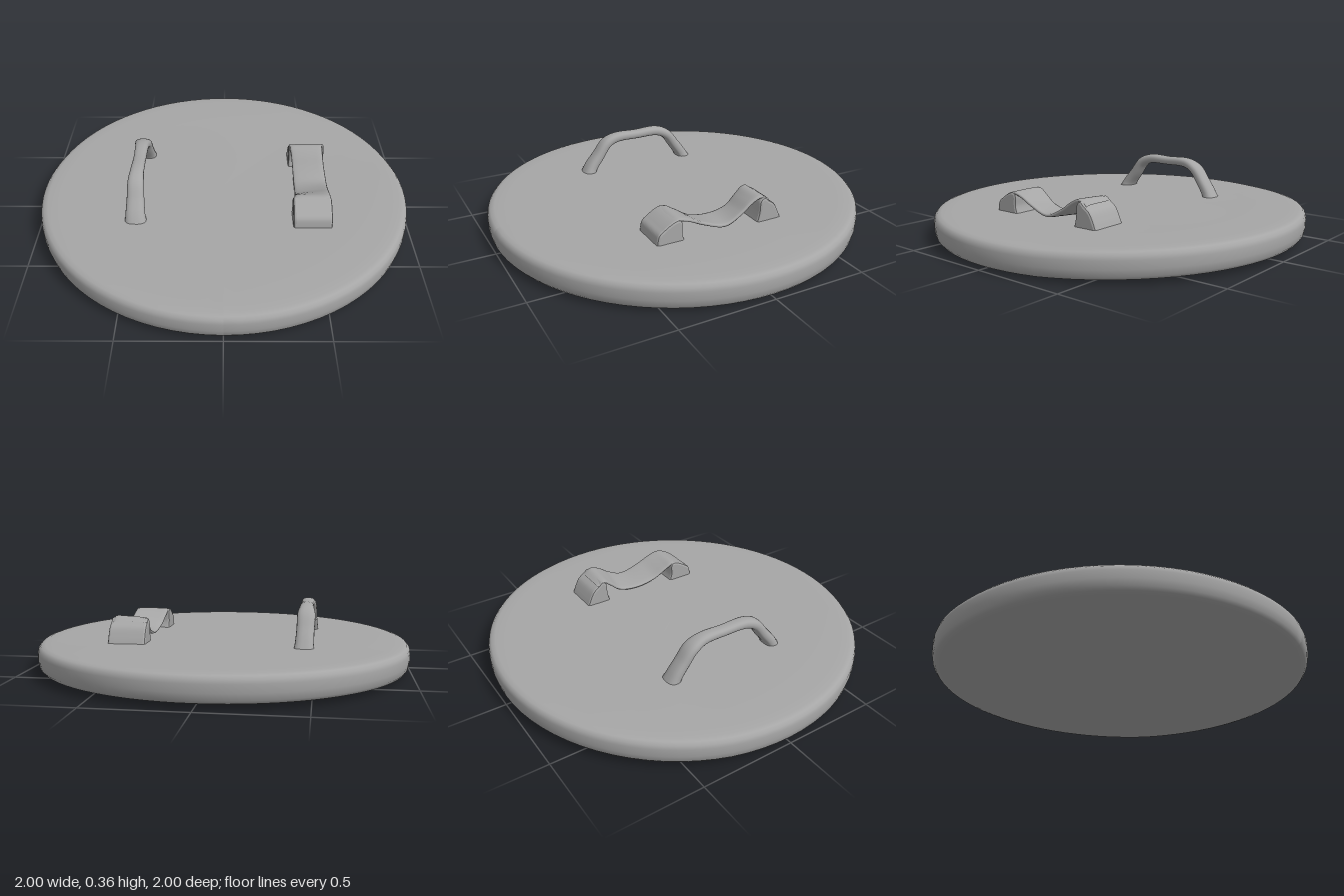
import * as THREE from 'three';

const grey = new THREE.MeshStandardMaterial({ color: 0xa6a6a6 });
grey.name = 'plain grey';

function addMesh(group, geometry, name) {
  const mesh = new THREE.Mesh(geometry, grey);
  mesh.name = name;
  group.add(mesh);
  return mesh;
}

// Sweeps a rounded section; each station is [x, y, z, halfWidth, halfThickness, roll].
function sweep(stations, steps, sides, squareness) {
  const centre = new THREE.CatmullRomCurve3(stations.map(s => new THREE.Vector3(s[0], s[1], s[2])));
  const size = new THREE.CatmullRomCurve3(stations.map(s => new THREE.Vector3(s[3], s[4], s[5])));
  const soften = v => Math.sign(v) * Math.pow(Math.abs(v), squareness);
  const positions = [], index = [];
  for (let i = 0; i <= steps; i++) {
    const c = centre.getPoint(i / steps), s = size.getPoint(i / steps);
    const t = centre.getTangent(i / steps);
    const across = new THREE.Vector3(1, 0, 0).addScaledVector(t, -t.x).normalize().applyAxisAngle(t, s.z);
    const normal = t.clone().cross(across);
    for (let j = 0; j < sides; j++) {
      const a = (j / sides) * Math.PI * 2;
      const p = c.clone()
        .addScaledVector(across, s.x * soften(Math.cos(a)))
        .addScaledVector(normal, s.y * soften(Math.sin(a)));
      positions.push(p.x, p.y, p.z);
      if (i < steps) {
        const k = i * sides + j, n = i * sides + (j + 1) % sides;
        index.push(k, n, k + sides, n, n + sides, k + sides);
      }
    }
  }
  const geometry = new THREE.BufferGeometry();
  geometry.setAttribute('position', new THREE.Float32BufferAttribute(positions, 3));
  geometry.setIndex(index);
  geometry.computeVertexNormals();
  return geometry;
}

// Extrudes a smooth [z, y] outline across x.
function strapMount(outline, width) {
  const shape = new THREE.Shape();
  shape.moveTo(...outline[0]);
  shape.splineThru(outline.slice(1).map(p => new THREE.Vector2(...p)));
  shape.closePath();
  const bevel = 0.012;
  const geometry = new THREE.ExtrudeGeometry(shape, {
    depth: width - 2 * bevel, curveSegments: 20,
    bevelEnabled: true, bevelSize: bevel, bevelOffset: -bevel, bevelThickness: bevel, bevelSegments: 2,
  });
  geometry.translate(0, 0, bevel - width / 2);
  geometry.rotateY(-Math.PI / 2);
  return geometry;
}

export function createModel() {
  const model = new THREE.Group();
  model.name = 'roundShield';

  // Disc with a rounded rim, its far edge slightly raised
  const profile = [
    [0, 0.005], [0.4, 0.005], [0.7, 0.006], [0.9, 0.009], [0.955, 0.013], [0.98, 0.021],
    [0.993, 0.037], [1, 0.07], [1, 0.11], [0.995, 0.13], [0.982, 0.144], [0.96, 0.15],
    [0.9, 0.153], [0.7, 0.155], [0.4, 0.156], [0, 0.156],
  ].map(p => new THREE.Vector2(...p));
  const disc = new THREE.LatheGeometry(profile, 80);
  const pos = disc.attributes.position;
  for (let i = 0; i < pos.count; i++) {
    pos.setY(i, pos.getY(i) + 0.018 * Math.max(0, -pos.getZ(i) - 0.3) / 0.7);
  }
  disc.computeVertexNormals();
  addMesh(model, disc, 'shieldDisc');

  // Arched hand grip with flared feet
  addMesh(model, sweep([
    [-0.457, 0.13, 0.315, 0.06, 0.04, 0],
    [-0.46, 0.175, 0.295, 0.052, 0.032, 0],
    [-0.46, 0.24, 0.245, 0.046, 0.03, 0],
    [-0.46, 0.31, 0.19, 0.043, 0.028, 0],
    [-0.458, 0.334, 0.13, 0.037, 0.026, 0],
    [-0.455, 0.335, 0.0, 0.034, 0.024, 0],
    [-0.455, 0.334, -0.13, 0.038, 0.026, 0],
    [-0.455, 0.305, -0.195, 0.047, 0.028, 0],
    [-0.453, 0.24, -0.245, 0.046, 0.03, 0],
    [-0.45, 0.175, -0.29, 0.048, 0.032, 0],
    [-0.447, 0.13, -0.31, 0.055, 0.04, 0],
  ], 60, 18, 0.8), 'handGrip');

  // Humped mounts for the arm strap
  const front = addMesh(model, strapMount([
    [0.375, 0.14], [0.365, 0.2], [0.335, 0.228], [0.29, 0.255], [0.255, 0.264], [0.235, 0.245], [0.235, 0.19], [0.22, 0.14],
  ], 0.2), 'frontStrapMount');
  front.position.x = 0.458;
  const back = addMesh(model, strapMount([
    [-0.18, 0.14], [-0.195, 0.2], [-0.2, 0.26], [-0.225, 0.281], [-0.25, 0.262], [-0.285, 0.235], [-0.31, 0.19], [-0.33, 0.14],
  ], 0.2), 'backStrapMount');
  back.position.x = 0.468;

  // Slack arm strap sagging between the mounts
  addMesh(model, sweep([
    [0.46, 0.245, 0.285, 0.09, 0.01, 0],
    [0.46, 0.258, 0.25, 0.092, 0.01, 0],
    [0.463, 0.24, 0.2, 0.092, 0.01, -0.08],
    [0.47, 0.2, 0.12, 0.09, 0.01, -0.15],
    [0.475, 0.174, 0.0, 0.09, 0.01, -0.06],
    [0.472, 0.205, -0.1, 0.088, 0.01, -0.18],
    [0.468, 0.25, -0.16, 0.088, 0.01, -0.14],
    [0.465, 0.276, -0.21, 0.09, 0.01, -0.05],
    [0.465, 0.255, -0.255, 0.09, 0.01, 0],
  ], 48, 16, 0.5), 'armStrap');

  return model;
}
